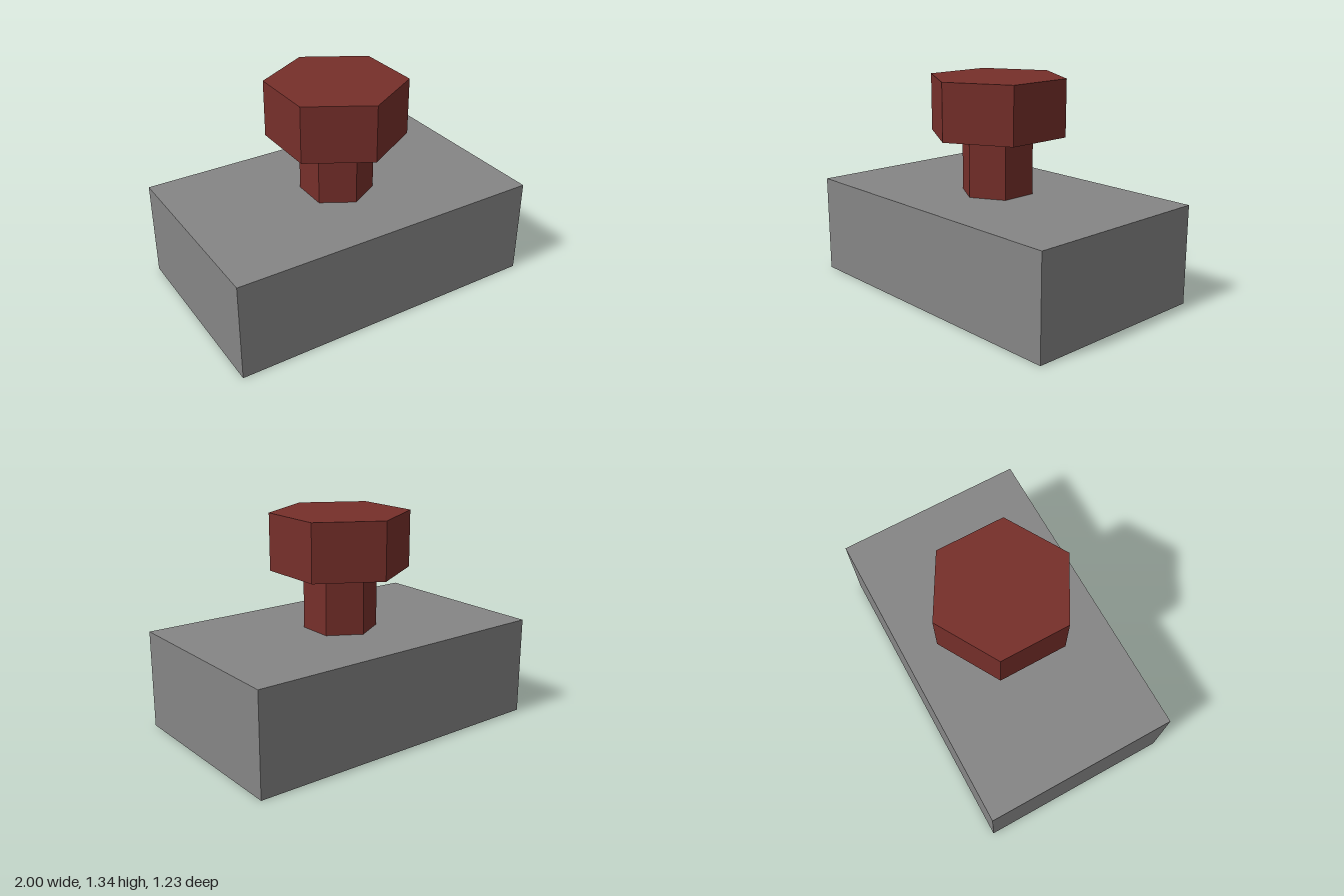
import * as THREE from 'three';

export function createModel() {
  const group = new THREE.Group();
  const grey = new THREE.MeshStandardMaterial({ color: 0x858585, flatShading: true });
  const red = new THREE.MeshStandardMaterial({ color: 0x762f2a, flatShading: true });

  // Places a part so that it stands on the given height
  function addPart(name, geometry, material, bottom, height) {
    const mesh = new THREE.Mesh(geometry, material);
    mesh.name = name;
    mesh.position.y = bottom + height / 2;
    group.add(mesh);
  }

  // Hexagonal prism with corners pointing to the front and back
  const hexPrism = (radius, height) => new THREE.CylinderGeometry(radius, radius, height, 6);

  // Block base
  addPart('base', new THREE.BoxGeometry(2, 0.62, 1.23), grey, 0, 0.62);
  // Button: narrow stem under a wide head
  addPart('buttonStem', hexPrism(0.227, 0.367), red, 0.62, 0.367);
  addPart('buttonHead', hexPrism(0.43, 0.353), red, 0.987, 0.353);

  return group;
}
